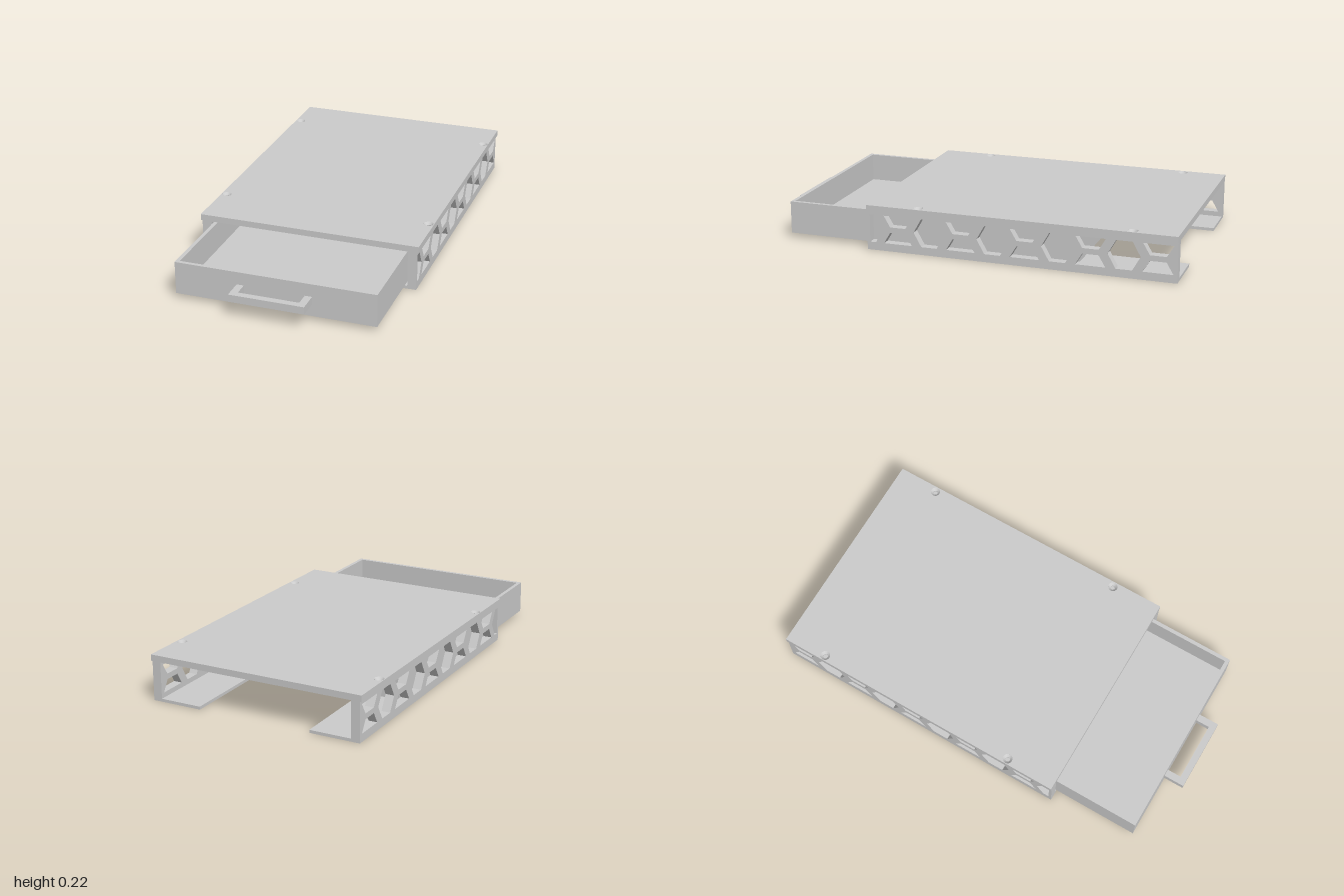
import * as THREE from 'three';

const material = new THREE.MeshStandardMaterial({ color: 0xcccccc, flatShading: true, side: THREE.DoubleSide });

function add(parent, name, geometry) {
  const mesh = new THREE.Mesh(geometry, material);
  mesh.name = name;
  parent.add(mesh);
  return mesh;
}

// Box given by its lower and upper limits on each axis
function box(parent, name, x0, x1, y0, y1, z0, z1) {
  const mesh = add(parent, name, new THREE.BoxGeometry(x1 - x0, y1 - y0, z1 - z0));
  mesh.position.set((x0 + x1) / 2, (y0 + y1) / 2, (z0 + z1) / 2);
  return mesh;
}

const polygon = (points) => points.map(([x, y]) => new THREE.Vector2(x, y));
const rectangle = (x0, x1, y0, y1) => new THREE.Shape(polygon([[x0, y0], [x1, y0], [x1, y1], [x0, y1]]));

const BACK = -1, FRONT = 0.48;
const WALL_IN = 0.483, WALL_OUT = 0.525;

// Honeycomb side wall: shape drawn in (z, y), extruded through its thickness
function wallGeometry() {
  const shape = rectangle(BACK, FRONT, 0, 0.2);
  const cut = (points) => shape.holes.push(new THREE.Path(polygon(points)));
  const mid = 0.105, half = 0.067, r = 0.0755, pitch = 0.1547;
  const lo = mid - half, hi = mid + half;
  // half hexagon at the front end
  cut([[0.466, lo], [0.466, hi], [0.437, hi], [0.4, mid], [0.437, lo]]);
  for (let i = 0; i < 9; i++) {
    const z = 0.326 - i * pitch;
    if (i % 2) {
      // full hexagon
      cut([[z - r, mid], [z - r / 2, lo], [z + r / 2, lo], [z + r, mid], [z + r / 2, hi], [z - r / 2, hi]]);
    } else {
      // clipped hexagons above and below
      for (const s of [-1, 1]) {
        cut([[z - 0.07, mid + s * half], [z + 0.07, mid + s * half], [z + 0.038, mid + s * 0.013], [z - 0.038, mid + s * 0.013]]);
      }
    }
  }
  const geometry = new THREE.ExtrudeGeometry(shape, { depth: WALL_OUT - WALL_IN, bevelEnabled: false });
  return geometry.rotateY(-Math.PI / 2);
}

// Slab of the top with round holes at the screw positions
const screws = [];
for (const x of [-0.507, 0.507]) for (const z of [-0.79, 0.23]) screws.push([x, z]);

function slabGeometry(y0, y1, holeRadius) {
  const shape = rectangle(-0.533, 0.533, -FRONT, -BACK);
  for (const [x, z] of screws) {
    const hole = new THREE.Path();
    hole.absarc(x, -z, holeRadius, 0, Math.PI * 2, true);
    shape.holes.push(hole);
  }
  const geometry = new THREE.ExtrudeGeometry(shape, { depth: y1 - y0, bevelEnabled: false, curveSegments: 24 });
  return geometry.rotateX(-Math.PI / 2).translate(0, y0, 0);
}

export function createModel() {
  const model = new THREE.Group();
  model.name = 'underDeskDrawer';

  // Top plate with countersunk screw holes
  const top = new THREE.Group();
  top.name = 'topPlate';
  model.add(top);
  add(top, 'topPlateLower', slabGeometry(0.188, 0.206, 0.011));
  add(top, 'topPlateUpper', slabGeometry(0.206, 0.218, 0.023));
  const sink = new THREE.LatheGeometry(polygon([[0.011, 0.206], [0.023, 0.218]]), 24);
  for (const [x, z] of screws) add(top, 'countersink', sink).position.set(x, 0, z);

  // Side brackets: honeycomb wall and inward runner
  const wall = wallGeometry();
  for (const side of [-1, 1]) {
    const bracket = new THREE.Group();
    bracket.name = side > 0 ? 'leftBracket' : 'rightBracket';
    model.add(bracket);
    add(bracket, 'honeycombWall', wall).position.x = side > 0 ? WALL_OUT : -WALL_IN;
    const a = side * 0.28, b = side * WALL_IN;
    box(bracket, 'runner', Math.min(a, b), Math.max(a, b), 0, 0.014, BACK, FRONT);
  }

  // Drawer tray, pulled out to the front
  const drawer = new THREE.Group();
  drawer.name = 'drawer';
  model.add(drawer);
  const w = 0.475, t = 0.018, y0 = 0.022, y1 = 0.178, zb = -0.53, zf = 0.9;
  box(drawer, 'drawerFloor', -w, w, y0, y0 + 0.02, zb, zf);
  box(drawer, 'drawerFront', -w, w, y0 + 0.02, y1, zf - t, zf);
  box(drawer, 'drawerBack', -w, w, y0 + 0.02, y1, zb, zb + t);
  box(drawer, 'drawerRightSide', -w, -w + t, y0 + 0.02, y1, zb + t, zf - t);
  box(drawer, 'drawerLeftSide', w - t, w, y0 + 0.02, y1, zb + t, zf - t);

  // Handle: a flat U, drawn in plan
  const u = new THREE.Shape(polygon([
    [-0.177, -0.9], [-0.177, -1], [0.177, -1], [0.177, -0.9],
    [0.143, -0.9], [0.143, -0.968], [-0.143, -0.968], [-0.143, -0.9],
  ]));
  const handle = new THREE.ExtrudeGeometry(u, { depth: 0.035, bevelEnabled: false });
  add(drawer, 'handle', handle.rotateX(-Math.PI / 2)).position.y = 0.082;

  return model;
}
